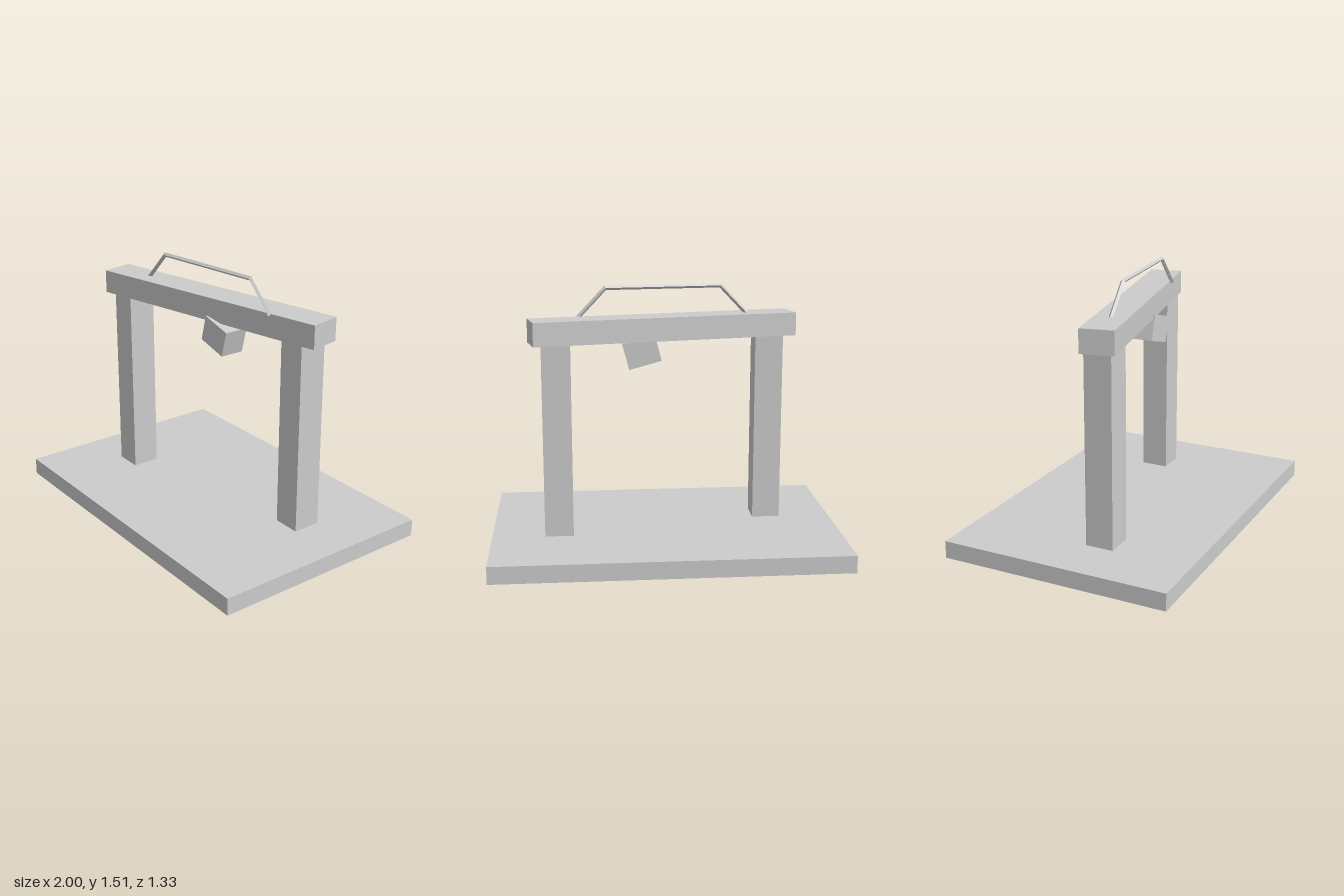
import * as THREE from 'three';

const grey = new THREE.MeshStandardMaterial({ color: 0xcccccc });
grey.name = 'plain grey';

function box(name, size, position) {
  const mesh = new THREE.Mesh(new THREE.BoxGeometry(...size), grey);
  mesh.name = name;
  mesh.position.set(...position);
  return mesh;
}

// Thin four-sided bar swept along a polyline with mitred corners and closed ends
function barGeometry(points, radius) {
  const path = points.map((p) => new THREE.Vector3(...p));
  const last = path.length - 1;
  const side = path[last].clone().sub(path[0]).setY(0).normalize()
    .cross(new THREE.Vector3(0, 1, 0));
  const direction = (i) => path[i + 1].clone().sub(path[i]).normalize();
  const rings = path.map((p, i) => {
    const before = direction(Math.max(i - 1, 0));
    const after = direction(Math.min(i, last - 1));
    const tangent = before.clone().add(after).normalize();
    const up = side.clone().cross(tangent).normalize()
      .multiplyScalar(radius / tangent.dot(after));
    const out = side.clone().multiplyScalar(radius);
    return [up, out, up.clone().negate(), out.clone().negate()].map((v) => v.add(p));
  });

  const positions = [];
  const quad = (a, b, c, d) => {
    for (const v of [a, b, c, a, c, d]) positions.push(v.x, v.y, v.z);
  };
  for (let i = 0; i < last; i++) {
    for (let k = 0; k < 4; k++) {
      const n = (k + 1) % 4;
      quad(rings[i][k], rings[i][n], rings[i + 1][n], rings[i + 1][k]);
    }
  }
  const [a, b, c, d] = rings[0];
  quad(d, c, b, a);
  quad(...rings[last]);

  const geometry = new THREE.BufferGeometry();
  geometry.setAttribute('position', new THREE.Float32BufferAttribute(positions, 3));
  geometry.computeVertexNormals();
  return geometry;
}

export function createModel() {
  const model = new THREE.Group();
  model.name = 'frameOnBase';

  // Base slab and the two staggered posts
  model.add(box('base', [2, 0.1, 1.334], [0, 0.05, 0]));
  for (const s of [-1, 1]) {
    model.add(box(s < 0 ? 'rightPost' : 'leftPost', [0.162, 1.1, 0.162], [s * 0.618, 0.65, s * -0.129]));
  }

  // Beam turned to span both posts
  const beam = box('beam', [1.547, 0.134, 0.19], [0, 1.267, 0]);
  beam.rotation.y = 0.205;
  model.add(beam);

  // Tilted block under the beam
  const block = box('hangingBlock', [0.193, 0.153, 0.142], [0.13, 1.128, 0.025]);
  block.rotation.z = -0.262;
  model.add(block);

  // Bent handle above the beam
  const handle = new THREE.Mesh(barGeometry([
    [-0.495, 1.324, 0.099],
    [-0.334, 1.493, 0.092],
    [0.334, 1.493, 0.006],
    [0.495, 1.324, 0],
  ], 0.0125), grey);
  handle.name = 'handle';
  model.add(handle);

  return model;
}
